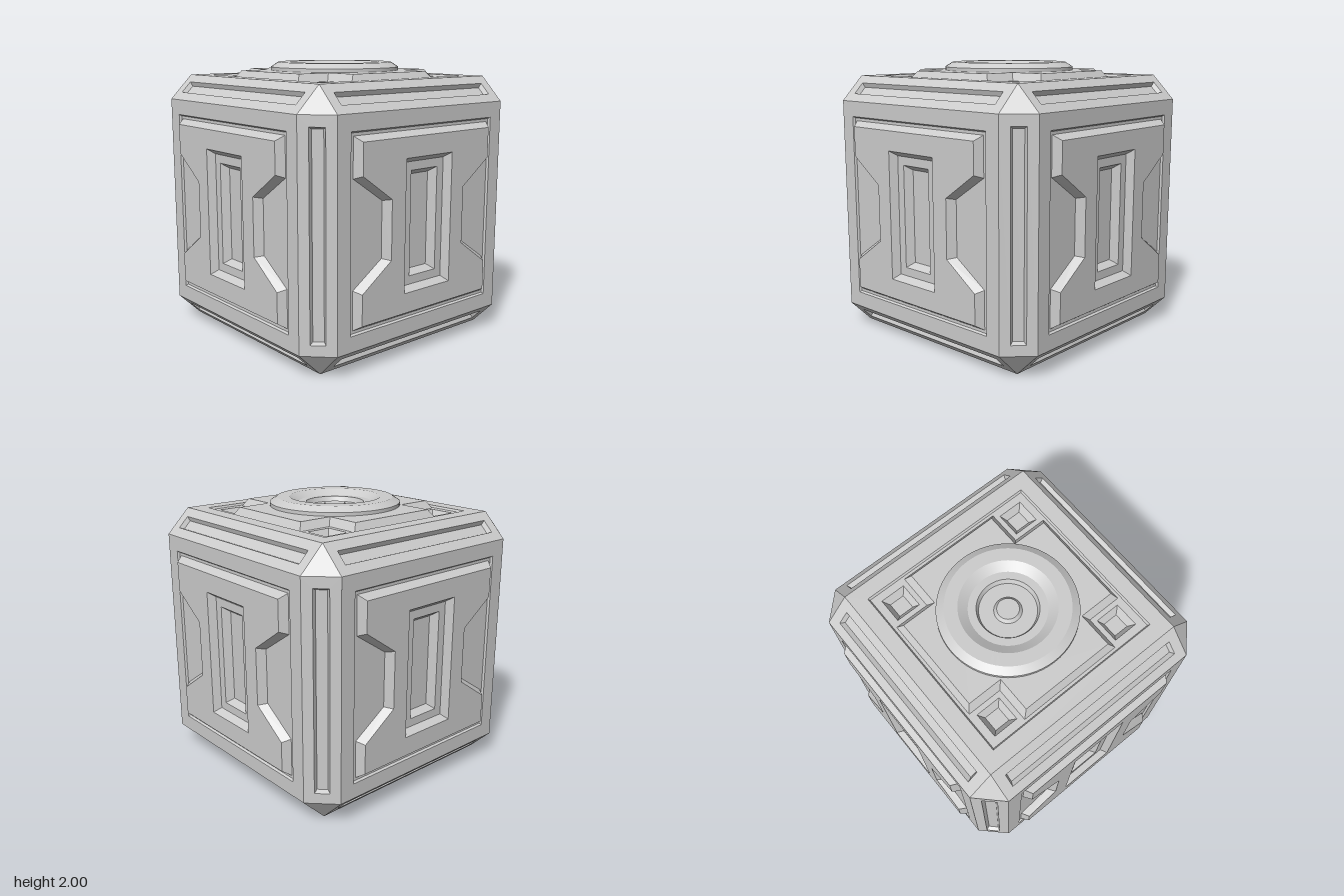
import * as THREE from 'three';
import { mergeGeometries, toCreasedNormals } from 'three/addons/utils/BufferGeometryUtils.js';

const material = new THREE.MeshStandardMaterial({ color: 0xcccccc });
const R = 0.95;      // half size of the cube
const F = 0.775;     // half size of each flat face inside the chamfers
const FLOOR = 0.935; // floor of the framed recess
const PANEL = 0.99;  // top of the raised panels

// Counter-clockwise loops in a face's own plane (z points out of the cube)
const rect = (w, h = w, cx = 0, cy = 0) =>
  [[-w, -h], [w, -h], [w, h], [-w, h]].map(([x, y]) => [x + cx, y + cy]);

const circle = (r, n = 48) => Array.from({ length: n }, (_, i) => {
  const a = (i / n) * Math.PI * 2;
  return [r * Math.cos(a), r * Math.sin(a)];
});

function fromTriangles(points) {
  const g = new THREE.BufferGeometry();
  g.setAttribute('position', new THREE.Float32BufferAttribute(points.flat(), 3));
  g.computeVertexNormals();
  return g;
}

// Flat area at height z, with optional holes
function flat(outer, z, holes = []) {
  const v = (loop) => loop.map(([x, y]) => new THREE.Vector2(x, y));
  const shape = new THREE.Shape(v(outer));
  shape.holes = holes.map((h) => new THREE.Path(v(h)));
  const g = new THREE.ShapeGeometry(shape).toNonIndexed();
  g.deleteAttribute('uv');
  return g.translate(0, 0, z);
}

// Sloped wall from an outer loop to an inner loop
function slope(a, za, b, zb) {
  const pts = [];
  a.forEach((p, i) => {
    const j = (i + 1) % a.length;
    const A = [...p, za], B = [...a[j], za], C = [...b[j], zb], D = [...b[i], zb];
    pts.push(A, B, C, A, C, D);
  });
  return fromTriangles(pts);
}

function mesh(name, geometries) {
  const m = new THREE.Mesh(mergeGeometries(geometries), material);
  m.name = name;
  return m;
}

// Square rim with a shallow recess; holes are cut in its floor
const frame = (holes = []) => mesh('frame', [
  flat(rect(F), R, [rect(0.665)]),
  slope(rect(0.665), R, rect(0.655), FLOOR),
  flat(rect(0.655), FLOOR, holes),
]);

// Outline with a notch in its left and right sides
function waistLoop(e, notchY, waistX, waistY) {
  const right = [[e, -e], [e, -notchY], [waistX, -waistY], [waistX, waistY], [e, notchY], [e, e]];
  return [...right, ...right.map(([x, y]) => [-x, -y])];
}

// Plus-shaped outline
function crossLoop(e, w) {
  const arm = [[e, -w], [e, w], [w, w]];
  const loop = [];
  for (let k = 0; k < 4; k++) {
    for (let [x, y] of arm) {
      for (let i = 0; i < k; i++) [x, y] = [-y, x];
      loop.push([x, y]);
    }
  }
  return loop;
}

function sideFace() {
  const g = new THREE.Group();
  g.name = 'sideFace';
  const base = waistLoop(0.635, 0.365, 0.385, 0.195);
  const top = waistLoop(0.6, 0.385, 0.345, 0.205);
  const slot = rect(0.22, 0.46), slotFloor = rect(0.185, 0.425);
  const inner = rect(0.125, 0.365), innerFloor = rect(0.085, 0.33);
  g.add(
    frame([base]),
    mesh('raisedPanel', [slope(base, FLOOR, top, PANEL), flat(top, PANEL, [slot])]),
    mesh('steppedSlot', [
      slope(slot, PANEL, slotFloor, 0.94),
      flat(slotFloor, 0.94, [inner]),
      slope(inner, 0.94, innerFloor, 0.89),
      flat(innerFloor, 0.89),
    ]),
  );
  return g;
}

function topFace() {
  const g = new THREE.Group();
  g.name = 'topFace';
  const base = crossLoop(0.635, 0.385), top = crossLoop(0.6, 0.345);
  const corners = [[1, 1], [-1, 1], [-1, -1], [1, -1]].map(([x, y]) => [x * 0.51, y * 0.51]);
  g.add(
    frame([base, ...corners.map((c) => rect(0.09, 0.09, ...c))]),
    mesh('crossPanel', [slope(base, FLOOR, top, PANEL), flat(top, PANEL, [circle(0.34)])]),
    mesh('cornerPockets', corners.flatMap((c) => {
      const floor = rect(0.054, 0.054, ...c);
      return [slope(rect(0.09, 0.09, ...c), FLOOR, floor, 0.885), flat(floor, 0.885)];
    })),
  );
  return g;
}

// Chamfer strip with a long groove
function edgeStrip() {
  const d = (R + F) / Math.SQRT2, h = (R - F) / Math.SQRT2;
  const groove = rect(0.7, 0.052), floor = rect(0.685, 0.037);
  return mesh('edgeStrip', [
    flat(rect(F, h), d, [groove]),
    slope(groove, d, floor, d - 0.03),
    flat(floor, d - 0.03),
  ]);
}

// Small triangles closing the eight corners
function cornerCaps() {
  const pts = [];
  for (const x of [1, -1]) for (const y of [1, -1]) for (const z of [1, -1]) {
    const t = [[R * x, F * y, F * z], [F * x, R * y, F * z], [F * x, F * y, R * z]];
    pts.push(...(x * y * z > 0 ? t : t.reverse()));
  }
  return mesh('cornerCaps', [fromTriangles(pts)]);
}

// Round dish with a central button
function dish() {
  const profile = [
    [0.475, 0.985], [0.475, 1.015], [0.42, 1.05], [0.33, 1.05], [0.265, 1.01], [0.21, 1.01],
    [0.195, 0.975], [0.095, 0.975], [0.075, 1.0], [0, 1.0],
  ].map(([r, y]) => new THREE.Vector2(r, y));
  return mesh('dish', [toCreasedNormals(new THREE.LatheGeometry(profile, 64), 0.3)]);
}

export function createModel() {
  const model = new THREE.Group();
  model.name = 'chamferedCrate';
  const body = new THREE.Group();
  body.name = 'body';
  body.position.y = R;
  model.add(body);

  const place = (part, rx, ry, rz = 0) => {
    part.rotation.set(rx, ry, rz, 'YXZ');
    body.add(part);
  };
  const q = Math.PI / 4;
  for (let k = 0; k < 4; k++) {
    const turn = k * 2 * q;
    place(sideFace(), 0, turn);
    place(edgeStrip(), -q, turn);            // upper edge
    place(edgeStrip(), q, turn);             // lower edge
    place(edgeStrip(), 0, turn + q, 2 * q);  // upright edge
  }
  place(topFace(), -2 * q, 0);
  const bottom = frame();
  bottom.name = 'bottomFace';
  place(bottom, 2 * q, 0);
  body.add(cornerCaps(), dish());
  return model;
}
